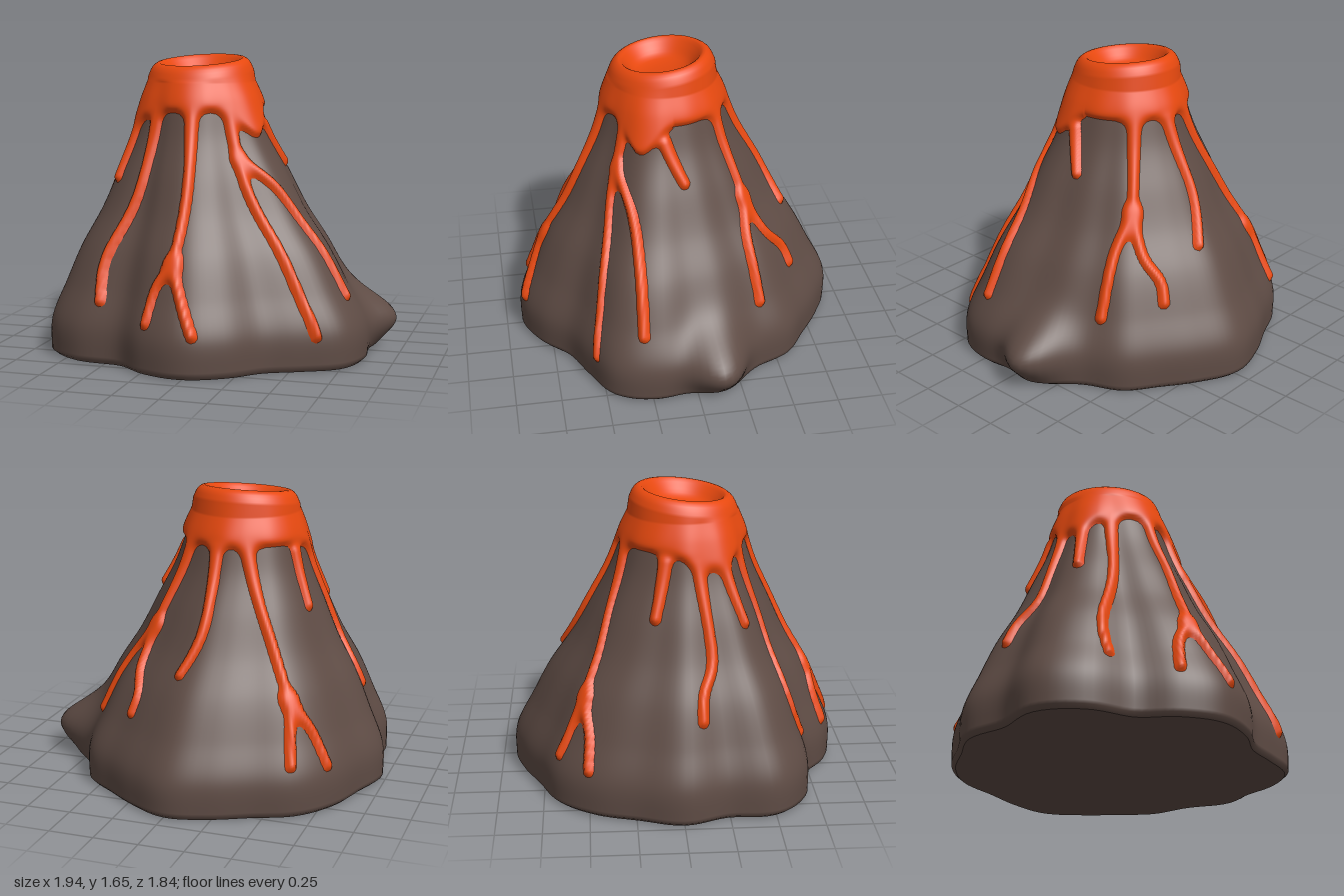
import * as THREE from 'three';

const TAU = Math.PI * 2;
const TOP = { x: -0.15, z: 0.045, r: 0.245 };

// radius of the foot every 15 degrees, from +x towards +z
const FOOT = [0.81, 0.9, 0.92, 0.83, 0.785, 0.865, 0.93, 0.905, 0.855, 0.99, 1.045, 0.955,
  1.0, 0.96, 0.975, 0.97, 0.915, 0.925, 0.945, 0.875, 0.825, 0.825, 0.78, 0.8];
// blend from foot (0) to crater (1) every 0.2 of height
const SLOPE = [0.03, 0.04, 0.17, 0.31, 0.49, 0.635, 0.78, 0.885, 1];

function cubic(list, t, at) {
  const i = Math.floor(t), f = t - i;
  const [a, b, c, d] = [-1, 0, 1, 2].map(k => list[at(i + k)]);
  return b + 0.5 * f * (c - a + f * (2 * a - 5 * b + 4 * c - d + f * (3 * (b - c) + d - a)));
}
const slope = y => cubic(SLOPE, y / 0.2, k => Math.min(8, Math.max(0, k)));
const foot = a => cubic(FOOT, (((a % TAU) + TAU) % TAU) / TAU * 24, k => (k + 24) % 24);

// point on the mountain side at an angle and height, with a rocky spur near +x
function side(a, y) {
  const w = slope(y);
  let da = a + 0.14;
  da -= TAU * Math.round(da / TAU);
  const spur = 0.19 * Math.exp(-0.5 * (da / 0.14) ** 2 - 0.5 * ((y - 0.18) / 0.12) ** 2);
  const r = foot(a) * (1 - w) + TOP.r * w + spur;
  return new THREE.Vector3(TOP.x * w + r * Math.cos(a), y, TOP.z * w + r * Math.sin(a));
}

// a lava stream running down the side through [degrees, height] points
function stream(...way) {
  const path = new THREE.SplineCurve(way.map(p => new THREE.Vector2(...p)));
  const pts = path.getPoints(16).map(p => side(THREE.MathUtils.degToRad(p.x), p.y));
  return pts.slice(1).map((p, i) => new THREE.Line3(pts[i], p));
}
const frontStreams = [
  stream([85, 1.4], [88, 0.96], [94, 0.58]),
  stream([94, 0.58], [101, 0.45], [104, 0.27]),
  stream([94, 0.58], [86, 0.23]),
  stream([123, 1.35], [124, 0.94], [130, 0.58], [128, 0.34]),
  stream([49, 1.35], [51, 1], [44, 0.64], [40, 0.19]),
  stream([49, 1.1], [31, 0.94], [23, 0.68], [20, 0.37]),
];
const sideStreams = [
  stream([8, 1.27], [-5, 1.06]),
  stream([170, 1.3], [166, 0.85], [172, 0.66], [173, 0.53]),
  stream([148, 1.3], [144, 0.98]),
  stream([-162, 1.3], [-161, 1.02]),
];
const backStreams = [
  stream([-51, 1.4], [-49, 0.9]),
  stream([-49, 0.9], [-39, 0.7], [-35, 0.39]),
  stream([-49, 0.9], [-54, 0.7], [-62, 0.57], [-63, 0.46]),
  stream([-84, 1.35], [-90, 0.97], [-84, 0.71]),
  stream([-110, 1.4], [-128, 0.92], [-135, 0.6]),
  stream([-135, 0.6], [-133, 0.28]),
  stream([-135, 0.6], [-143, 0.43], [-147, 0.25]),
];
const STREAMS = [...frontStreams, ...sideStreams, ...backStreams];

const bump = (a, centre, width) => Math.exp(-(((a - centre) / width) ** 2));
const near = new THREE.Vector3();

// height of the lava above the rock; negative where there is none
function lavaHeight(p, a) {
  const edge = 1.35 - 0.14 * bump(a, 0.5, 0.3) - 0.09 * bump(a, 2.75, 0.45);
  let d = (edge - p.y) * 1.1;
  for (const lines of STREAMS) {
    let s = 9;
    for (const line of lines) {
      line.closestPointToPoint(p, true, near);
      const r = 0.031 + 0.035 * Math.max(0, near.y - 1.05);
      s = Math.min(s, near.distanceTo(p) - r);
    }
    const h = Math.max(0.07 - Math.abs(d - s), 0) / 0.07;
    d = Math.min(d, s) - h * h * 0.0175;
  }
  return d < 0 ? 0.03 * (1 - Math.exp(d / 0.012)) : Math.max(-0.8 * d, -0.03);
}

// closed rings of points, bottom to top, joined into one smooth skin
function skin(rows, cols, point, keep = () => true) {
  const pos = [], all = [], kept = [];
  for (let j = 0; j < rows; j++)
    for (let i = 0; i < cols; i++) pos.push(...point(i / cols * TAU, j).toArray());
  for (let j = 0; j < rows - 1; j++) {
    for (let i = 0; i < cols; i++) {
      const a = j * cols + i, b = j * cols + (i + 1) % cols, c = a + cols, d = b + cols;
      const quad = [a, c, b, b, c, d];
      all.push(...quad);
      if ([a, b, c, d].some(keep)) kept.push(...quad);
    }
  }
  const geo = new THREE.BufferGeometry();
  geo.setAttribute('position', new THREE.Float32BufferAttribute(pos, 3));
  geo.setIndex(all);
  geo.computeVertexNormals();
  geo.setIndex(kept);
  return geo;
}

export function createModel() {
  const model = new THREE.Group();
  const rock = new THREE.MeshStandardMaterial({ name: 'rock brown', color: 0x5f4c45 });
  const lava = new THREE.MeshStandardMaterial({ name: 'lava orange', color: 0xe8490f });
  const add = (name, geo, mat) => {
    const mesh = new THREE.Mesh(geo, mat);
    mesh.name = name;
    model.add(mesh);
  };

  // mountain side, tucked in slightly at the ground
  const tuck = new THREE.Vector3(0.975, 1, 0.975);
  add('mountain', skin(73, 144, (a, j) => {
    const p = side(a, j * 0.02);
    return j === 0 ? p.multiply(tuck) : p;
  }), rock);

  // flat underside
  const outline = new THREE.Shape(Array.from({ length: 144 }, (_, i) => {
    const p = side(i / 144 * TAU, 0).multiply(tuck);
    return new THREE.Vector2(p.x, p.z);
  }));
  add('underside', new THREE.ShapeGeometry(outline).rotateX(Math.PI / 2), rock);

  // lava skin: streams and cap, then the rim and the crater bowl
  const rim = new THREE.SplineCurve([[0.3, 1.55], [0.275, 1.602], [0.235, 1.625], [0.198, 1.59],
    [0.15, 1.542], [0.08, 1.523], [0.0005, 1.52]].map(p => new THREE.Vector2(...p))).getPoints(18);
  const WALL = 130, COLS = 360, height = [];
  add('lava', skin(WALL + rim.length, COLS, (a, j) => {
    const c = Math.cos(a), s = Math.sin(a);
    if (j >= WALL) {
      const { x: r, y } = rim[j - WALL];
      height.push(1);
      return new THREE.Vector3(TOP.x + r * c, y + r * (0.03 * c - 0.11 * s), TOP.z + r * s);
    }
    const p = side(a, 0.12 + 1.38 * j / (WALL - 1));
    const h = lavaHeight(p, a);
    height.push(h);
    return p.add(new THREE.Vector3(c * 0.91, 0.42, s * 0.91).multiplyScalar(h));
  }, k => height[k] > -0.005), lava);

  return model;
}
